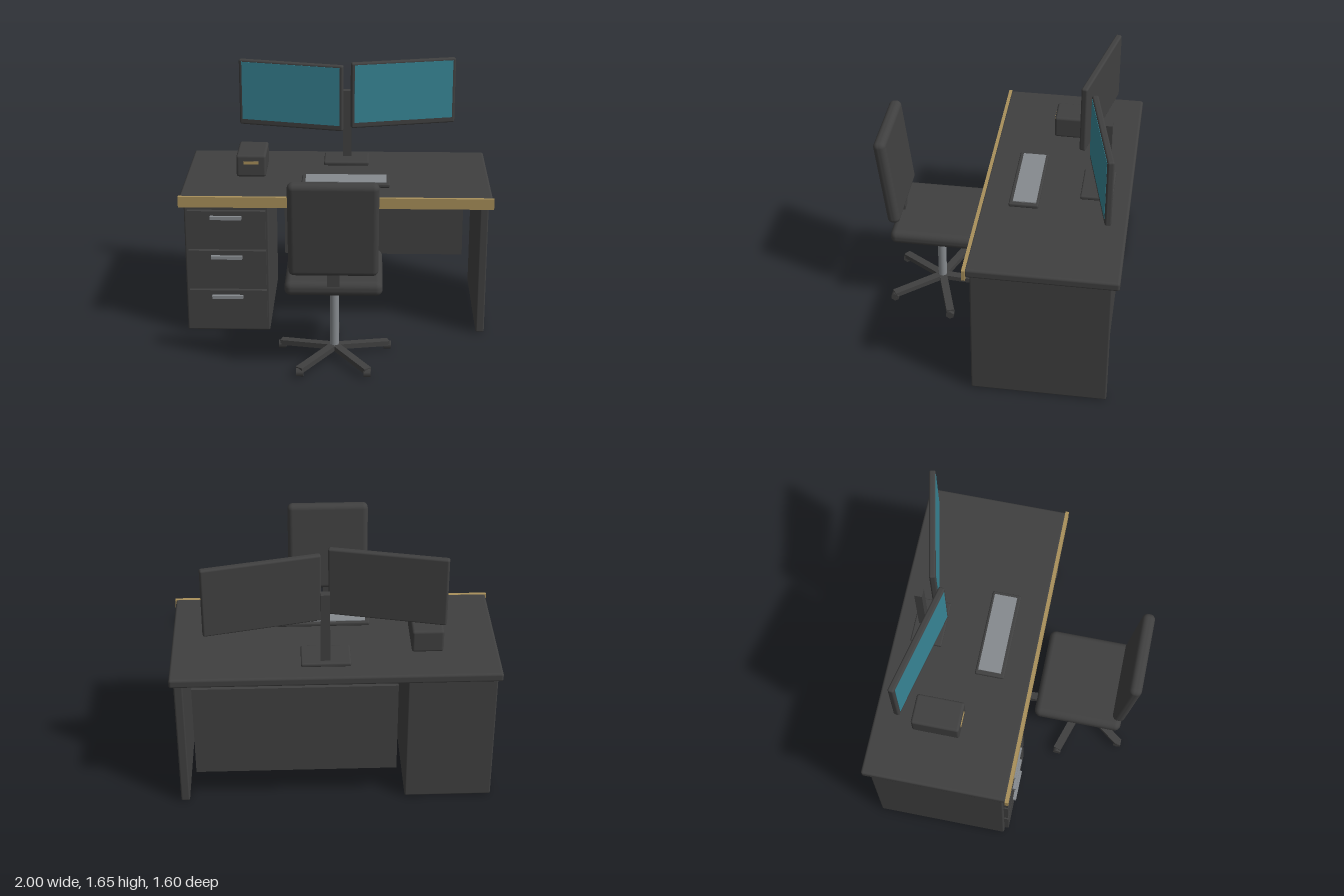
import * as THREE from 'three';
import { RoundedBoxGeometry } from 'three/addons/geometries/RoundedBoxGeometry.js';

const material = (name, color) => {
  const m = new THREE.MeshStandardMaterial({ color });
  m.name = name;
  return m;
};

export function createModel() {
  const model = new THREE.Group();
  model.name = 'deskWorkstation';
  const dark = material('charcoal', 0x404040);
  const wood = material('woodTrim', 0xa88f5a);
  const silver = material('silverGrey', 0x868a8e);
  const teal = material('screenTeal', 0x378494);

  const add = (name, geometry, mat, x, y, z, parent = model) => {
    const mesh = new THREE.Mesh(geometry, mat);
    mesh.name = name;
    mesh.position.set(x, y, z);
    parent.add(mesh);
    return mesh;
  };
  // Box given by its [min, max] on each axis, with optional rounded edges
  const block = (name, mat, [x0, x1], [y0, y1], [z0, z1], radius = 0, parent = model) => {
    const size = [x1 - x0, y1 - y0, z1 - z0];
    const geometry = radius
      ? new RoundedBoxGeometry(...size, 3, radius)
      : new THREE.BoxGeometry(...size);
    return add(name, geometry, mat, (x0 + x1) / 2, (y0 + y1) / 2, (z0 + z1) / 2, parent);
  };
  const group = (name, x = 0, y = 0, z = 0, parent = model) => {
    const g = new THREE.Group();
    g.name = name;
    g.position.set(x, y, z);
    parent.add(g);
    return g;
  };

  // Desk
  const desk = group('desk');
  block('desktop', dark, [-0.993, 0.993], [0.89, 0.947], [-0.8, 0.112], 0.015, desk);
  block('frontTrim', wood, [-1, 1], [0.875, 0.945], [0.105, 0.127], 0, desk);
  block('sideLeg', dark, [0.915, 0.97], [0, 0.89], [-0.755, 0.085], 0.01, desk);
  block('modestyPanel', dark, [-0.375, 0.865], [0.215, 0.837], [-0.74, -0.715], 0, desk);
  block('pedestal', dark, [-0.97, -0.43], [0, 0.89], [-0.755, 0.085], 0.01, desk);
  for (const y of [0.175, 0.452, 0.724]) {
    block('drawerFront', dark, [-0.947, -0.447], [y - 0.12, y + 0.12], [0.08, 0.113], 0, desk);
    block('drawerHandle', silver, [-0.8, -0.6], [y + 0.068, y + 0.09], [0.11, 0.134], 0, desk);
  }

  // Twin monitors angled towards the middle
  for (const [x, z, turn] of [[-0.311, -0.553, -0.22], [0.433, -0.624, 0.22]]) {
    const monitor = group('monitor', x, 1.42, z);
    monitor.rotation.y = turn;
    add('monitorFrame', new RoundedBoxGeometry(0.712, 0.447, 0.04, 3, 0.012), dark, 0, 0, 0, monitor);
    add('screen', new THREE.BoxGeometry(0.67, 0.395, 0.005), teal, 0, 0.012, 0.0195, monitor);
  }
  block('monitorBase', dark, [-0.092, 0.208], [0.947, 0.974], [-0.69, -0.488], 0.01);
  block('monitorPost', dark, [0.033, 0.09], [0.96, 1.43], [-0.66, -0.612]);

  // Small desk box with a slot
  block('deskBox', dark, [-0.659, -0.465], [0.947, 1.095], [-0.552, -0.25], 0.016);
  block('boxSlot', wood, [-0.612, -0.512], [1.037, 1.055], [-0.251, -0.245]);

  // Keyboard
  block('keyboard', dark, [-0.226, 0.345], [0.947, 0.974], [-0.244, -0.058], 0.01);
  block('keyArea', silver, [-0.2, 0.322], [0.972, 0.98], [-0.227, -0.082]);

  // Chair, facing the desk
  const chair = group('chair', 0, 0, 0.437);
  block('seat', dark, [-0.297, 0.297], [0.528, 0.62], [-0.285, 0.28], 0.04, chair);
  const back = add('backrest', new RoundedBoxGeometry(0.54, 0.613, 0.08, 4, 0.035), dark, 0, 0.973, 0.291, chair);
  back.rotation.x = 0.12;
  block('backBracket', dark, [-0.037, 0.037], [0.59, 0.77], [0.228, 0.276], 0, chair);
  add('gasColumn', new THREE.CylinderGeometry(0.028, 0.028, 0.455, 20), silver, 0, 0.31, 0, chair);

  // Five sloping spokes with casters
  for (let i = 0; i < 5; i++) {
    const angle = Math.PI + i * Math.PI * 2 / 5;
    const spoke = group('spoke', 0, 0, 0, chair);
    spoke.rotation.y = angle;
    const arm = add('spokeArm', new THREE.BoxGeometry(0.05, 0.033, 0.36), dark, 0, 0.055, 0.178, spoke);
    arm.rotation.x = 0.07;
    const wheel = new THREE.CylinderGeometry(0.028, 0.028, 0.045, 6).rotateZ(Math.PI / 2);
    add('caster', wheel, dark, Math.sin(angle) * 0.352, 0.0243, Math.cos(angle) * 0.352, chair)
      .material = dark;
  }
  // Stand the hexagonal casters on a flat side
  chair.traverse((o) => { if (o.name === 'caster') o.rotation.x = Math.PI / 6; });

  return model;
}
